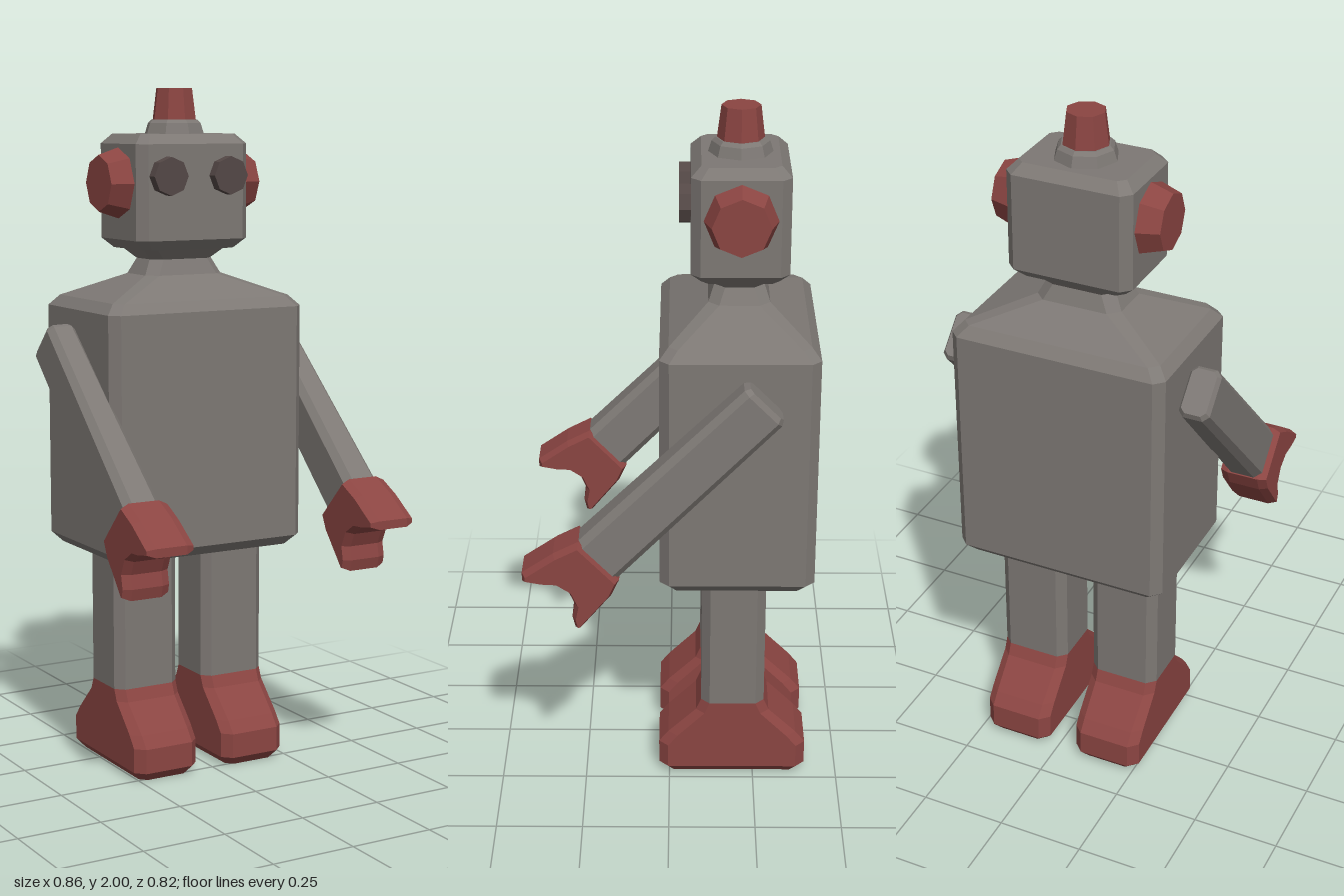
import * as THREE from 'three';

const paint = (color) => new THREE.MeshStandardMaterial({ color, flatShading: true });

// Stack of corner-cut rectangles; each section is [y, halfWidth, halfDepth, cornerCut]
function loft(sections) {
  const pos = [], idx = [];
  for (const [y, w, d, c] of sections) {
    const ring = [[w, c - d], [w, d - c], [w - c, d], [c - w, d], [-w, d - c], [-w, c - d], [c - w, -d], [w - c, -d]];
    for (const [x, back] of ring) pos.push(x, y, -back);
  }
  const last = (sections.length - 1) * 8;
  for (let s = 0; s < last; s += 8) {
    for (let i = 0; i < 8; i++) {
      const j = (i + 1) % 8;
      idx.push(s + i, s + j, s + 8 + j, s + i, s + 8 + j, s + 8 + i);
    }
  }
  for (let i = 1; i < 7; i++) {
    idx.push(0, i + 1, i, last, last + i, last + i + 1);
  }
  const indexed = new THREE.BufferGeometry();
  indexed.setAttribute('position', new THREE.Float32BufferAttribute(pos, 3));
  indexed.setIndex(idx);
  const geo = indexed.toNonIndexed();
  geo.computeVertexNormals();
  return geo;
}

export function createModel() {
  const model = new THREE.Group();
  model.name = 'toyRobot';
  const metal = paint(0x7d7874), red = paint(0x8b4542), dark = paint(0x544846);

  const add = (name, geo, mat, x = 0, y = 0, z = 0) => {
    const mesh = new THREE.Mesh(geo, mat);
    mesh.name = name;
    mesh.position.set(x, y, z);
    model.add(mesh);
    return mesh;
  };
  const CX = -0.02, CZ = -0.193;

  // Torso with sloping shoulders and pinched neck
  add('torso', loft([
    [0.655, 0.288, 0.192, 0.02],
    [0.685, 0.317, 0.221, 0.027],
    [1.37, 0.317, 0.221, 0.027],
    [1.4, 0.29, 0.195, 0.025],
    [1.465, 0.125, 0.086, 0.03],
    [1.51, 0.102, 0.07, 0.03],
    [1.545, 0.14, 0.1, 0.03],
  ]), metal, CX, 0, CZ);

  // Head
  add('head', loft([
    [1.54, 0.152, 0.108, 0.02],
    [1.568, 0.182, 0.136, 0.027],
    [1.842, 0.182, 0.136, 0.027],
    [1.87, 0.155, 0.108, 0.02],
  ]), metal, CX, 0, CZ);

  // Lamp on top of the head
  const base = [[0, 1.865], [0.091, 1.865], [0.08, 1.9], [0.07, 1.91], [0, 1.91]];
  add('lampBase', new THREE.LatheGeometry(base.map(([r, y]) => new THREE.Vector2(r, y)), 8), metal, -0.017, 0, CZ);
  add('lamp', new THREE.CylinderGeometry(0.054, 0.066, 0.095, 8), red, -0.017, 1.9525, CZ);

  // Ears and eyes
  for (const side of [-1, 1]) {
    const label = side > 0 ? 'left' : 'right';
    const ear = add(label + 'Ear', new THREE.CylinderGeometry(0.081, 0.103, 0.067, 8), red, CX + side * 0.2115, 1.73, CZ);
    ear.rotation.z = -side * Math.PI / 2;
    // turn a corner of the octagon upward
    ear.geometry.rotateY(Math.PI / 2);

    const eye = add(label + 'Eye', new THREE.CylinderGeometry(0.055, 0.055, 0.05, 8), dark, CX + side * 0.098, 1.752, -0.05);
    eye.rotation.x = Math.PI / 2;
  }

  // Legs and feet
  for (const [label, x] of [['left', 0.13], ['right', -0.163]]) {
    add(label + 'Leg', loft([[0.25, 0.103, 0.093, 0.025], [0.67, 0.103, 0.093, 0.025]]), metal, x, 0, -0.187);
    add(label + 'Foot', loft([
      [0, 0.08, 0.195, 0.02],
      [0.027, 0.103, 0.218, 0.027],
      [0.1, 0.103, 0.218, 0.027],
      [0.135, 0.103, 0.19, 0.027],
      [0.215, 0.103, 0.108, 0.025],
      [0.25, 0.103, 0.093, 0.025],
    ]), red, x, 0, -0.187);
  }

  // Hand outline as [z, y], ending in a curved gripping notch
  const outline = [
    [0.25, 0.886], [0.32, 0.85], [0.408, 0.79], [0.408, 0.765], [0.355, 0.755], [0.315, 0.753], [0.28, 0.73],
    [0.262, 0.69], [0.27, 0.65], [0.262, 0.617], [0.245, 0.617], [0.16, 0.72], [0.138, 0.768],
  ];
  const handShape = new THREE.Shape(outline.map(([z, y]) => new THREE.Vector2(z, y)));
  const handGeo = new THREE.ExtrudeGeometry(handShape, {
    depth: 0.094, bevelThickness: 0.025, bevelSize: 0.01, bevelOffset: -0.01, bevelSegments: 1,
  });
  handGeo.translate(0, 0, -0.047).rotateY(-Math.PI / 2);

  // Both arms lean the same way, reaching forward and down
  for (const [label, x] of [['left', 0.358], ['right', -0.36]]) {
    const wrist = new THREE.Vector3(x, 0.8275, 0.195);
    const shoulder = new THREE.Vector3(x - 0.02, 1.2825, -0.264);
    const up = shoulder.clone().sub(wrist);
    const length = up.length();
    up.normalize();
    const depth = new THREE.Vector3(1, 0, 0).cross(up).normalize();
    const across = up.clone().cross(depth);
    const arm = add(label + 'Arm', loft([
      [-0.02, 0.056, 0.079, 0.02],
      [length - 0.015, 0.045, 0.073, 0.017],
      [length, 0.036, 0.064, 0.013],
    ]), metal);
    arm.quaternion.setFromRotationMatrix(new THREE.Matrix4().makeBasis(across, up, depth));
    arm.position.copy(wrist);
    add(label + 'Hand', handGeo, red, x);
  }

  return model;
}
